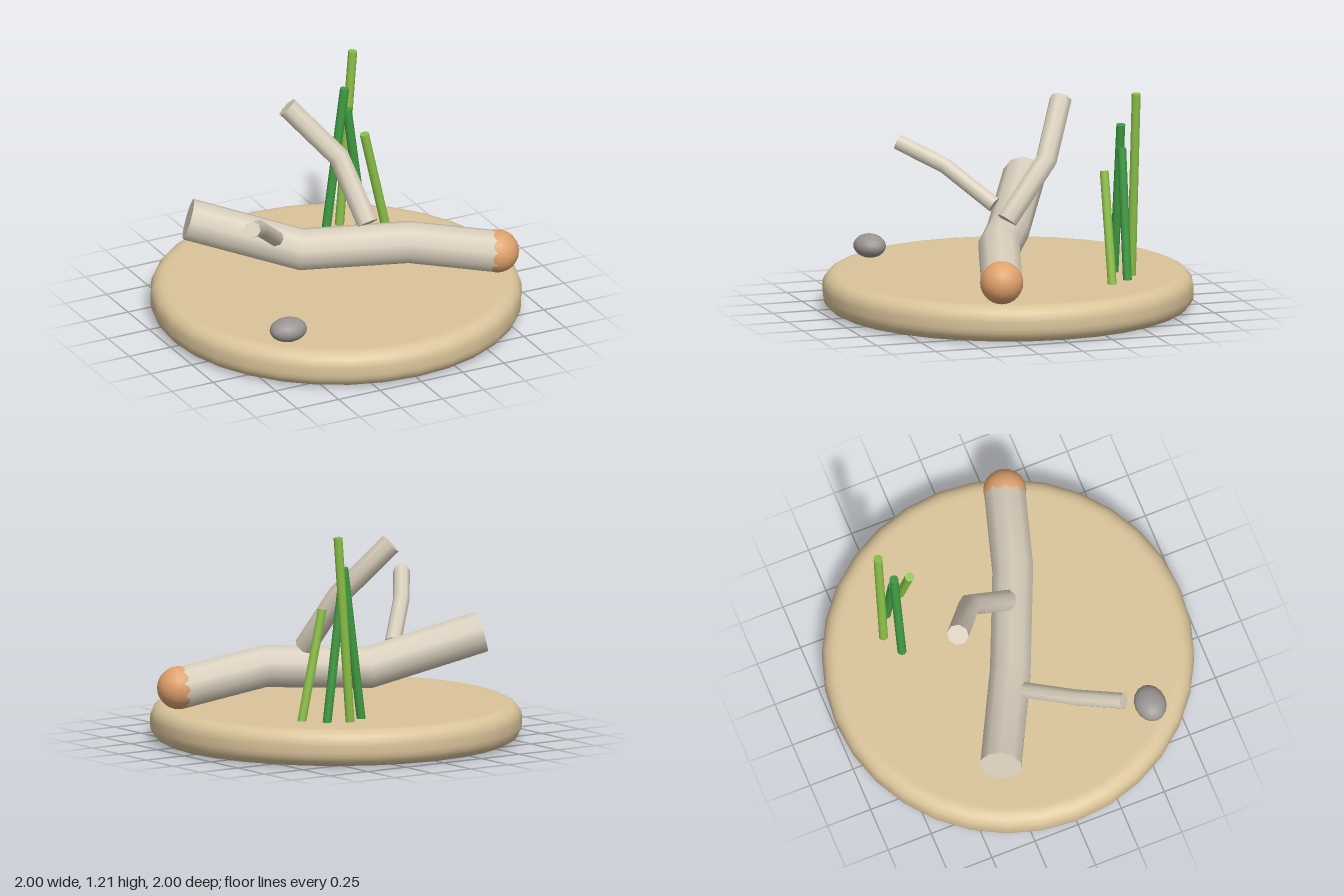
import * as THREE from 'three';
import { mergeGeometries } from 'three/addons/utils/BufferGeometryUtils.js';

const paint = (name, color) => {
  const m = new THREE.MeshStandardMaterial({ color });
  m.name = name;
  return m;
};

// Straight-sided path whose joints are mitred
class Polyline extends THREE.Curve {
  constructor(points) {
    super();
    this.points = points.map((p) => new THREE.Vector3(...p));
  }
  getPointAt(u) {
    return this.points[Math.round(u * (this.points.length - 1))].clone();
  }
  getTangentAt(u) {
    const p = this.points, i = Math.round(u * (p.length - 1)), t = new THREE.Vector3();
    if (i > 0) t.add(p[i].clone().sub(p[i - 1]).normalize());
    if (i < p.length - 1) t.add(p[i + 1].clone().sub(p[i]).normalize());
    return t.normalize();
  }
}

// Bent round limb with flat cut ends
function limbGeometry(points, radius, sides) {
  const path = new Polyline(points);
  const last = points.length - 1;
  const tube = new THREE.TubeGeometry(path, last, radius, sides, false);
  const pos = tube.attributes.position;
  const cut = [];
  for (const ring of [0, last]) {
    const at = (j) => new THREE.Vector3().fromBufferAttribute(pos, ring * (sides + 1) + j);
    for (let j = 0; j < sides; j++) {
      const edge = ring ? [at(j + 1), at(j)] : [at(j), at(j + 1)];
      cut.push(path.points[ring], ...edge);
    }
  }
  const caps = new THREE.BufferGeometry().setFromPoints(cut);
  caps.computeVertexNormals();
  const side = tube.toNonIndexed();
  side.deleteAttribute('uv');
  return mergeGeometries([side, caps]);
}

export function createModel() {
  const model = new THREE.Group();
  model.name = 'driftwoodDisplay';
  const sand = paint('sand', 0xdac49a);
  const wood = paint('paleWood', 0xd8cebc);
  const orange = paint('orange', 0xdfa26c);
  const stone = paint('stone', 0x9a9592);
  const darkGreen = paint('darkGreen', 0x3f9c42);
  const lightGreen = paint('lightGreen', 0x8cc148);

  const add = (name, geometry, material) => {
    const mesh = new THREE.Mesh(geometry, material);
    mesh.name = name;
    model.add(mesh);
    return mesh;
  };

  // Round base with softened rims
  const profile = [new THREE.Vector2(0, 0), new THREE.Vector2(0.9, 0)];
  for (const [cy, start] of [[0.08, -Math.PI / 2], [0.12, 0]]) {
    for (let i = 0; i <= 5; i++) {
      const a = start + (i / 5) * (Math.PI / 2);
      profile.push(new THREE.Vector2(0.92 + 0.08 * Math.cos(a), cy + 0.08 * Math.sin(a)));
    }
  }
  profile.push(new THREE.Vector2(0.9, 0.2), new THREE.Vector2(0, 0.2));
  add('base', new THREE.LatheGeometry(profile, 32), sand);

  // Fallen log and its two side branches
  add('log', limbGeometry([
    [-0.72, 0.56, -0.335], [-0.18, 0.38, -0.06], [0.35, 0.405, 0.17], [0.81, 0.31, 0.31],
  ], 0.115, 10), wood);
  add('uprightBranch', limbGeometry([
    [0.16, 0.51, 0.06], [0.11, 0.815, -0.18], [-0.12, 1.095, -0.34],
  ], 0.06, 8), wood);
  add('sideBranch', limbGeometry([
    [-0.345, 0.49, -0.04], [-0.55, 0.68, 0.17], [-0.705, 0.795, 0.385],
  ], 0.045, 8), wood);

  // Round tip on the front end of the log
  add('logTip', new THREE.SphereGeometry(0.116, 20, 14), orange).position.set(0.815, 0.312, 0.313);

  // Pebble
  const pebble = add('pebble', new THREE.SphereGeometry(1, 16, 12), stone);
  pebble.scale.set(0.104, 0.064, 0.086);
  pebble.position.set(-0.59, 0.262, 0.585);

  // Leaning stalks: bottom x, top x, top y, z
  const up = new THREE.Vector3(0, 1, 0);
  [
    [0.325, 0.405, 1.21, -0.59, lightGreen],
    [0.21, 0.325, 1.03, -0.53, darkGreen],
    [0.435, 0.34, 0.905, -0.53, darkGreen],
    [0.52, 0.385, 0.795, -0.415, lightGreen],
  ].forEach(([x0, x1, y1, z, material], i) => {
    const foot = new THREE.Vector3(x0, 0.195, z);
    const tip = new THREE.Vector3(x1, y1, z);
    const lean = tip.clone().sub(foot);
    const stalk = add(`stalk${i + 1}`, new THREE.CylinderGeometry(0.025, 0.025, lean.length(), 10), material);
    stalk.position.copy(foot).lerp(tip, 0.5);
    stalk.quaternion.setFromUnitVectors(up, lean.normalize());
  });

  return model;
}
